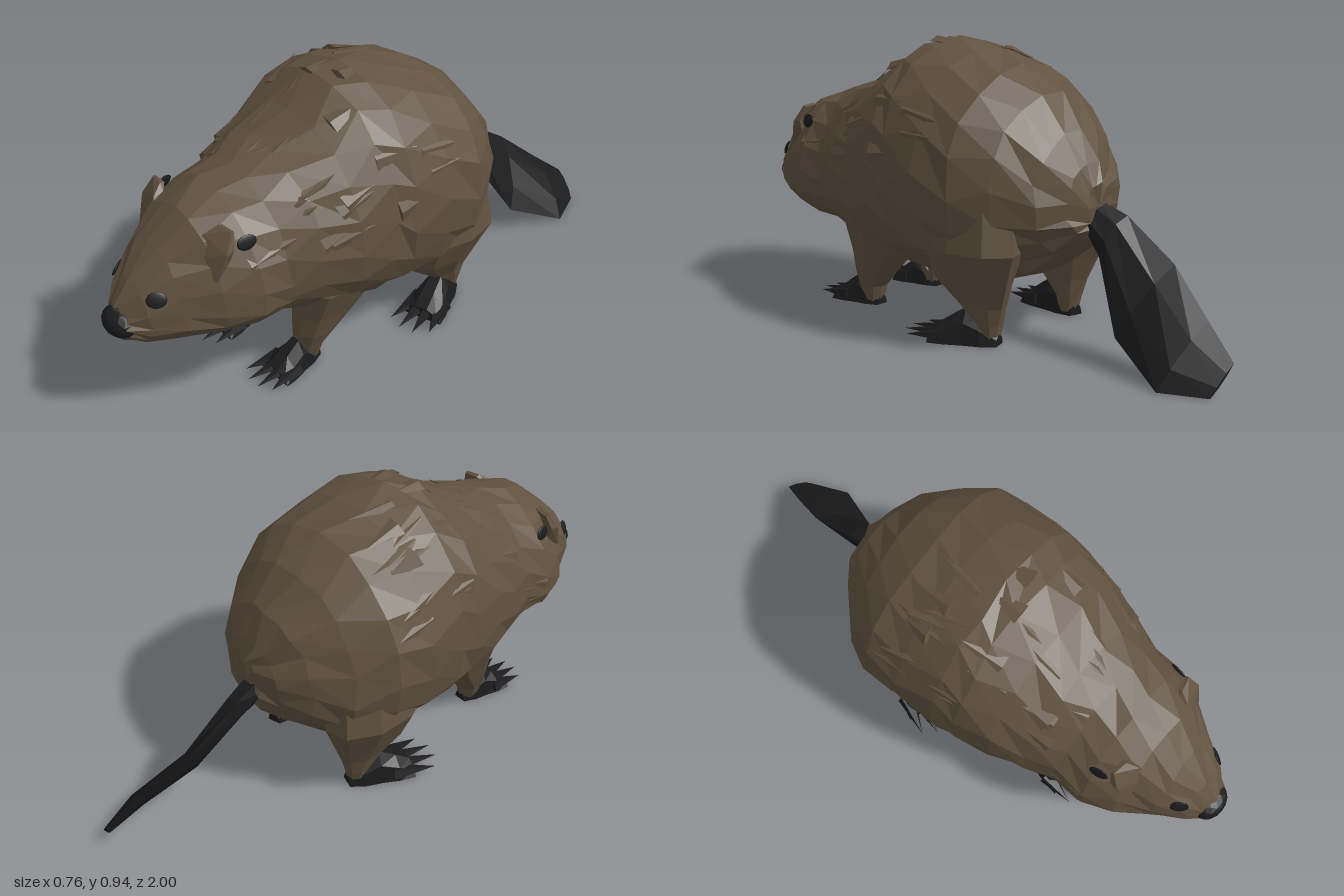
import * as THREE from 'three';
import { mergeGeometries } from 'three/addons/utils/BufferGeometryUtils.js';

const fur = new THREE.MeshStandardMaterial({ color: 0x615240 });
fur.name = 'brown fur';
const skin = new THREE.MeshStandardMaterial({ color: 0x1b1b1b });
skin.name = 'black skin';

const V = (x, y, z) => new THREE.Vector3(x, y, z);
let seed = 7;
const rand = () => (seed = (seed * 16807) % 2147483647) / 2147483647;
const jitter = (a) => (rand() - 0.5) * 2 * a;

// Faceted closed skin over a list of rings of points
function loft(rings) {
  const n = rings[0].length;
  const mid = (r) => r.reduce((s, p) => s.add(p), V(0, 0, 0)).divideScalar(n);
  const tris = [];
  rings.forEach((r, i) => {
    for (let j = 0; j < n; j++) {
      const k = (j + 1) % n;
      const next = rings[i + 1];
      if (next) tris.push([r[j], r[k], next[k]], [r[j], next[k], next[j]]);
      if (i === 0) tris.push([r[k], r[j], mid(r)]);
      if (!next) tris.push([r[j], r[k], mid(r)]);
    }
  });
  // Turn the faces outward
  const volume = tris.reduce((s, [a, b, c]) => s + a.dot(b.clone().cross(c)), 0);
  if (volume < 0) tris.forEach((t) => t.reverse());
  const geometry = new THREE.BufferGeometry().setFromPoints(tris.flat());
  geometry.computeVertexNormals();
  return geometry;
}

function faceted(geometry) {
  const g = geometry.index ? geometry.toNonIndexed() : geometry;
  g.deleteAttribute('uv');
  g.computeVertexNormals();
  return g;
}

function add(parent, name, geometry, material) {
  const mesh = new THREE.Mesh(geometry, material);
  mesh.name = name;
  parent.add(mesh);
  return mesh;
}

// Body sections: z, bottom, widest height, top, half width
const BODY = [
  [-0.485, 0.39, 0.45, 0.53, 0.06], [-0.46, 0.35, 0.46, 0.59, 0.13],
  [-0.40, 0.29, 0.47, 0.685, 0.22], [-0.30, 0.21, 0.48, 0.79, 0.31],
  [-0.18, 0.17, 0.49, 0.87, 0.378], [-0.04, 0.155, 0.5, 0.92, 0.38],
  [0.10, 0.16, 0.5, 0.942, 0.375], [0.18, 0.17, 0.5, 0.92, 0.365],
  [0.30, 0.20, 0.48, 0.845, 0.345], [0.42, 0.235, 0.46, 0.785, 0.305],
  [0.52, 0.25, 0.44, 0.755, 0.272], [0.62, 0.26, 0.42, 0.73, 0.268],
  [0.72, 0.265, 0.41, 0.69, 0.225], [0.82, 0.285, 0.4, 0.61, 0.165],
  [0.91, 0.31, 0.39, 0.52, 0.105], [0.96, 0.335, 0.39, 0.45, 0.06],
];

function bodyPoint(z, angle) {
  const i = Math.max(1, BODY.findIndex((s) => s[0] >= z));
  const a = BODY[i - 1], b = BODY[i];
  const t = (z - a[0]) / (b[0] - a[0]);
  const [, low, mid, top, w] = a.map((v, k) => v + (b[k] - v) * t);
  const power = z > 0.45 ? 1 : Math.sin(angle) > 0 ? 0.93 : 0.88;
  const round = (v) => Math.sign(v) * Math.abs(v) ** power;
  const s = round(Math.sin(angle));
  return V(round(Math.cos(angle)) * w, mid + s * (s > 0 ? top - mid : mid - low), z);
}

// Fur tuft lying on the body and pointing back, its root sunk in the skin
function tuft(z, angle, length, lift) {
  const p = bodyPoint(z, angle);
  const q = bodyPoint(z - 0.04, angle);
  const out = V(Math.cos(angle), Math.sin(angle), 0);
  const dir = q.sub(p).normalize().add(V(jitter(0.2), jitter(0.15), 0)).addScaledVector(out, lift).normalize();
  const side = dir.clone().cross(out).normalize();
  const up = side.clone().cross(dir);
  const cone = new THREE.ConeGeometry(1, 1, 4).scale(0.035, length, 0.012);
  cone.applyMatrix4(new THREE.Matrix4().makeBasis(side, dir, up));
  p.addScaledVector(out, -0.007);
  return faceted(cone.translate(p.x, p.y, p.z));
}

// Leg sections: y, centre x, centre z, half width, half depth
function leg(sections) {
  return loft(sections.map(([y, x, z, rx, rz]) => Array.from({ length: 9 }, (_, j) => {
    const a = (j / 9) * Math.PI * 2;
    return V(x + Math.cos(a) * rx, y, z + Math.sin(a) * rz);
  })));
}

// Flat-soled foot, low at the heel, with spread pointed toes toward +z
function foot(length, half, height, toes) {
  const rows = [[0, 0.3, 0.3], [0.16, 0.55, 0.7], [0.33, 0.66, 1], [0.52, 0.85, 0.66], [0.68, 0.92, 0.36]];
  const parts = [loft(rows.map(([z, w, h]) =>
    [[-1, 0], [-0.8, 0.6], [-0.3, 1], [0.3, 1], [0.8, 0.6], [1, 0]]
      .map(([x, y]) => V(x * w * half, y * h * height + 0.003, z * length))))];
  for (let i = 0; i < toes; i++) {
    const u = (i / (toes - 1)) * 2 - 1;
    const reach = length * (0.56 - 0.1 * u * u);
    const toe = new THREE.ConeGeometry(half * 0.4, reach, 5).rotateX(Math.PI / 2);
    toe.scale(1, 0.75, 1).rotateX(0.05).rotateY(u * 0.2);
    toe.translate(u * half * 0.7, 0.025, length * 0.45 + reach / 2);
    parts.push(faceted(toe));
  }
  return mergeGeometries(parts);
}

export function createModel() {
  const model = new THREE.Group();
  model.name = 'beaver';

  // Body and head in one skin
  add(model, 'bodyAndHead', loft(BODY.map(([z], i) => Array.from({ length: 20 }, (_, j) => {
    const p = bodyPoint(z, (j / 20) * Math.PI * 2 + (i % 2) * 0.12);
    return p.add(V(jitter(0.006), jitter(0.006), jitter(0.01)));
  }))), fur);

  // Ragged fur on the shoulders, flanks, cheeks and belly
  const tufts = [];
  for (let i = 0; i < 42; i++) {
    tufts.push(tuft(0.48 - rand() * 0.6, 0.1 + rand() * 2.94, 0.1 + rand() * 0.06, 0.12));
  }
  for (const side of [0, Math.PI]) {
    for (let i = 0; i < 5; i++) tufts.push(tuft(0.5 + rand() * 0.1, side + jitter(0.6), 0.11, 0.12));
  }
  for (let i = 0; i < 14; i++) tufts.push(tuft(0.02 + rand() * 0.28, -Math.PI / 2 + jitter(0.4), 0.09, 0.7));
  add(model, 'furTufts', mergeGeometries(tufts), fur);

  // Nose
  const nose = add(model, 'nose', faceted(new THREE.IcosahedronGeometry(1, 2)), skin);
  nose.scale.set(0.067, 0.047, 0.05);
  nose.position.set(0, 0.388, 0.95);

  for (const [label, s] of [['left', 1], ['right', -1]]) {
    // Eyes and ear openings
    const spot = (name, x, y, z, normal, w, h) => {
      const m = add(model, label + name, new THREE.SphereGeometry(1, 12, 8), skin);
      m.scale.set(w, h, 0.005);
      m.position.set(s * x, y, z);
      m.lookAt(s * (x + normal[0]), y + normal[1], z + normal[2]);
    };
    spot('Eye', 0.104, 0.489, 0.882, [0.75, 0.4, 0.5], 0.031, 0.025);
    spot('EarOpening', 0.21, 0.628, 0.63, [0.95, 0.25, 0.15], 0.032, 0.024);

    // Ear flap, standing out in front of the opening
    const ear = add(model, label + 'Ear', loft([
      [V(0.1, 0.58, 0.76), V(0.2, 0.53, 0.73), V(0.19, 0.56, 0.68), V(0.1, 0.62, 0.7)],
      [V(0.125, 0.655, 0.715), V(0.215, 0.62, 0.7), V(0.212, 0.625, 0.67), V(0.125, 0.66, 0.68)],
      [V(0.145, 0.68, 0.675), V(0.195, 0.678, 0.665), V(0.195, 0.672, 0.655), V(0.145, 0.675, 0.66)],
    ].map((ring) => ring.map((p) => V(s * p.x, p.y, p.z)))), fur);
    ear.position.z = 0.005;

    // Legs and feet
    const legs = new THREE.Group();
    legs.name = label + 'Legs';
    model.add(legs);
    const mirrorX = (sections) => sections.map(([y, x, ...rest]) => [y, s * x, ...rest]);
    add(legs, 'frontLeg', leg(mirrorX([
      [0.46, 0.19, 0.26, 0.08, 0.13], [0.32, 0.19, 0.27, 0.11, 0.17], [0.21, 0.17, 0.305, 0.085, 0.125],
      [0.13, 0.16, 0.345, 0.067, 0.08], [0.07, 0.152, 0.37, 0.05, 0.047], [0.015, 0.15, 0.37, 0.034, 0.034],
    ])), fur);
    add(legs, 'hindLeg', leg(mirrorX([
      [0.48, 0.22, -0.16, 0.12, 0.18], [0.32, 0.245, -0.17, 0.115, 0.19], [0.21, 0.23, -0.16, 0.08, 0.155],
      [0.13, 0.215, -0.19, 0.055, 0.09], [0.07, 0.208, -0.215, 0.045, 0.045], [0.015, 0.205, -0.215, 0.034, 0.033],
    ])), fur);
    const frontFoot = add(legs, 'frontFoot', foot(0.265, 0.078, 0.1, 4), skin);
    frontFoot.position.set(s * 0.149, 0, 0.335);
    const hindFoot = add(legs, 'hindFoot', foot(0.325, 0.085, 0.115, 4), skin);
    hindFoot.position.set(s * 0.2, 0, -0.25);
    hindFoot.rotation.y = s * 0.28;
  }

  // Twisted paddle tail: upper edge, lower edge, half thickness
  const normal = V(0.84, 0.51, -0.2).normalize();
  const tail = [
    [V(-0.03, 0.47, -0.45), V(0.03, 0.38, -0.45), 0.04],
    [V(-0.04, 0.43, -0.56), V(0.05, 0.31, -0.52), 0.034],
    [V(-0.03, 0.31, -0.74), V(0.13, 0.1, -0.64), 0.025],
    [V(0.02, 0.18, -0.89), V(0.21, 0.005, -0.84), 0.018],
    [V(0.06, 0.09, -1), V(0.15, 0.005, -0.98), 0.008],
  ];
  add(model, 'tail', loft(tail.map(([u, l, t]) =>
    [[0, 0], [0.3, 1], [0.7, 1], [1, 0], [0.7, -1], [0.3, -1]]
      .map(([k, o]) => u.clone().lerp(l, k).addScaledVector(normal, o * t)))), skin);

  return model;
}
